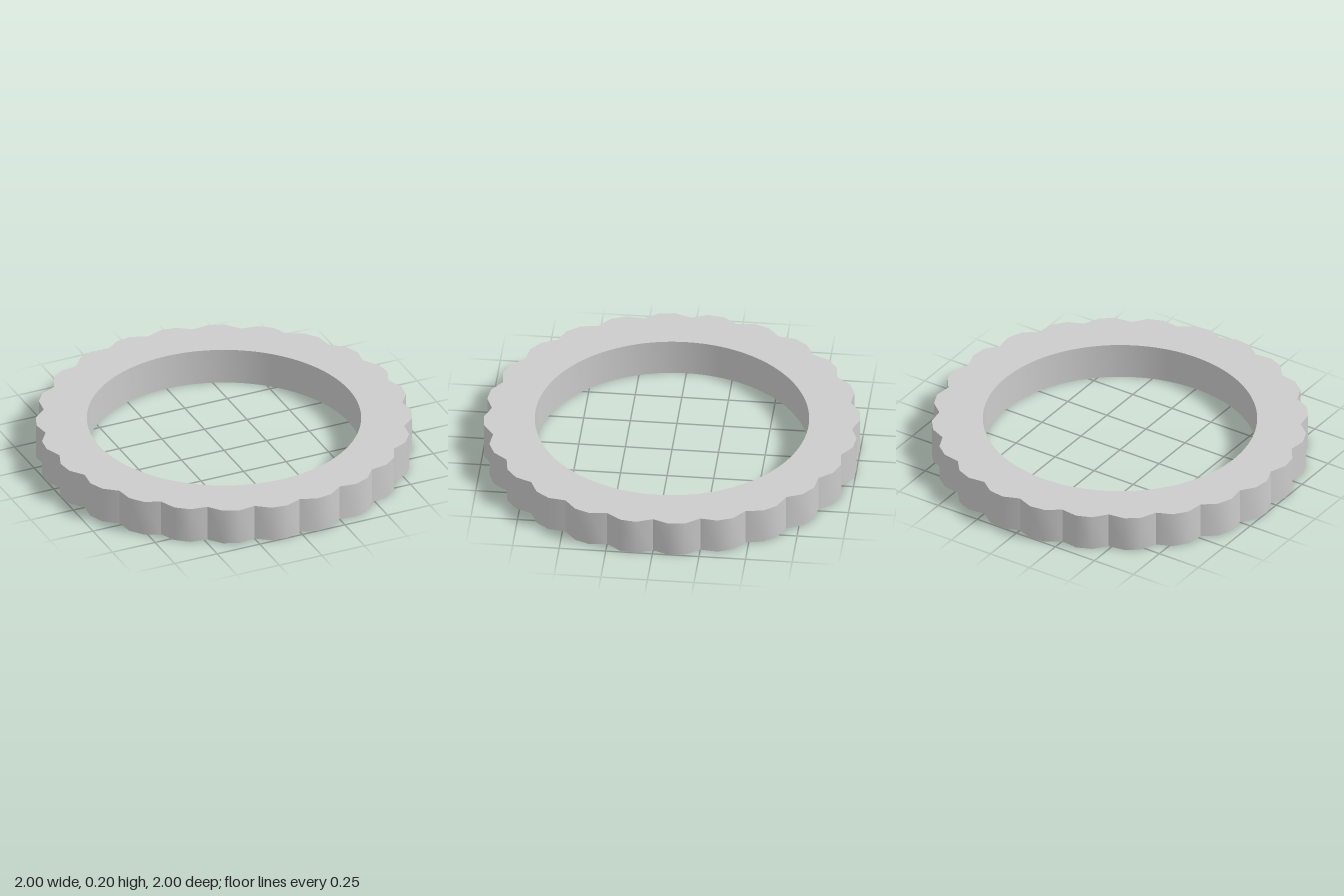
import * as THREE from 'three';
import { toCreasedNormals } from 'three/addons/utils/BufferGeometryUtils.js';

const LOBES = 24, HEIGHT = 0.2;
const NOTCH_RADIUS = 0.966, LOBE_RADIUS = 1.004, HOLE_RADIUS = 0.732;

export function createModel() {
  const group = new THREE.Group();
  group.name = 'scallopedRing';

  // Outline: each lobe runs from a notch over two outer points to the next notch
  const outline = [];
  const steps = LOBES * 3;
  for (let i = 0; i < steps; i++) {
    const a = (i / steps) * Math.PI * 2;
    const r = i % 3 === 0 ? NOTCH_RADIUS : LOBE_RADIUS;
    outline.push(new THREE.Vector2(r * Math.cos(a), r * Math.sin(a)));
  }
  const shape = new THREE.Shape(outline);

  // Round bore
  const hole = new THREE.Path();
  hole.absarc(0, 0, HOLE_RADIUS, 0, Math.PI * 2, true);
  shape.holes.push(hole);

  // Lay flat; smooth within each lobe, sharp at notches and rims
  const extruded = new THREE.ExtrudeGeometry(shape, {
    depth: HEIGHT, bevelEnabled: false, curveSegments: 72,
  });
  extruded.rotateX(-Math.PI / 2);
  const ring = new THREE.Mesh(
    toCreasedNormals(extruded, THREE.MathUtils.degToRad(35)),
    new THREE.MeshStandardMaterial({ color: 0xcccccc })
  );
  ring.name = 'ring';
  group.add(ring);
  return group;
}
